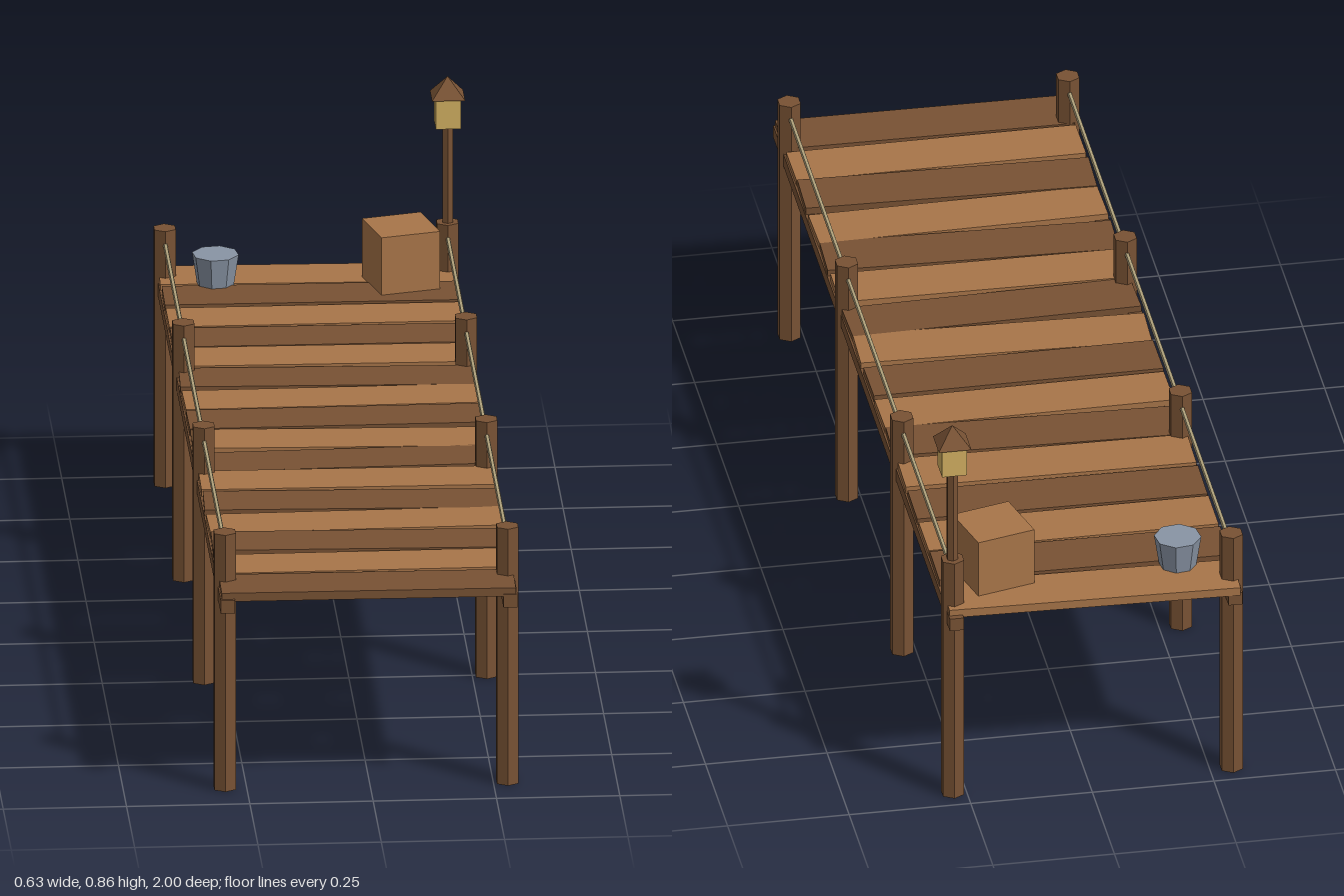
import * as THREE from 'three';

function material(name, color) {
  const m = new THREE.MeshStandardMaterial({ color });
  m.name = name;
  m.flatShading = true;
  return m;
}

export function createModel() {
  const darkWood = material('darkWood', 0x785234);
  const lightWood = material('lightWood', 0xa87549);
  const ropeFibre = material('ropeFibre', 0xb0a27c);
  const metal = material('bucketMetal', 0x8994a4);
  const glow = material('lanternGlow', 0xd2b062);

  const dock = new THREE.Group();
  dock.name = 'dock';

  function add(parent, name, geometry, mat, x, y, z, turn = 0) {
    const mesh = new THREE.Mesh(geometry, mat);
    mesh.name = name;
    mesh.position.set(x, y, z);
    mesh.rotation.y = turn;
    parent.add(mesh);
    return mesh;
  }

  const centreX = -0.008;
  const deckTop = 0.45;
  const postX = [-0.2945, 0.2785];
  const postZ = [0.9, 0.25, -0.375, -0.95];

  // Deck planks, back to front, each slightly skewed (slope of z along x)
  const slopes = [0.027, 0.01, 0, 0.01, -0.008, 0.014, 0.034, -0.01, -0.006,
    0.034, -0.024, 0.01, 0.034, -0.018, 0.028, -0.006, 0.008];
  slopes.splice(4, 1);
  const deck = new THREE.Group();
  deck.name = 'deck';
  dock.add(deck);
  const plank = new THREE.BoxGeometry(0.596, 0.018, 0.115);
  slopes.forEach((slope, i) => {
    add(deck, 'plank', plank, i % 2 ? darkWood : lightWood,
      centreX, deckTop - 0.009 + (i % 3 === 1 ? 0.002 : 0), -0.9375 + i * 0.125, -slope);
  });

  // Side beams, posts and ropes on both sides
  const beam = new THREE.BoxGeometry(0.029, 0.028, 2);
  const post = new THREE.CylinderGeometry(0.025, 0.025, 0.55, 6);
  postX.forEach((x) => {
    add(dock, 'sideBeam', beam, darkWood, x, 0.423, 0);
    postZ.forEach((z) => add(dock, 'post', post, darkWood, x, 0.275, z));
    for (let i = 0; i < postZ.length - 1; i++) {
      const length = postZ[i] - postZ[i + 1];
      const rope = new THREE.CylinderGeometry(0.005, 0.005, length, 5);
      rope.rotateX(Math.PI / 2);
      add(dock, 'rope', rope, ropeFibre, x, 0.52, postZ[i] - length / 2);
    }
  });

  // Lantern on the back corner post
  const lantern = new THREE.Group();
  lantern.name = 'lantern';
  lantern.position.set(0.279, 0, -0.95);
  dock.add(lantern);
  add(lantern, 'lanternPole', new THREE.CylinderGeometry(0.012, 0.012, 0.22, 6), darkWood, 0, 0.65, 0);
  add(lantern, 'lanternBox', new THREE.BoxGeometry(0.051, 0.064, 0.051), glow, 0, 0.789, 0);
  add(lantern, 'lanternRoof', new THREE.ConeGeometry(0.0475, 0.042, 4), darkWood, 0, 0.841, 0, Math.PI / 4);

  // Crate and bucket standing on the back plank
  add(dock, 'crate', new THREE.BoxGeometry(0.125, 0.125, 0.125), lightWood, 0.179, deckTop + 0.0625, -0.865, 0.255);
  add(dock, 'bucket', new THREE.CylinderGeometry(0.048, 0.038, 0.065, 8), metal, -0.196, deckTop + 0.0325, -0.886, -0.25);

  return dock;
}
